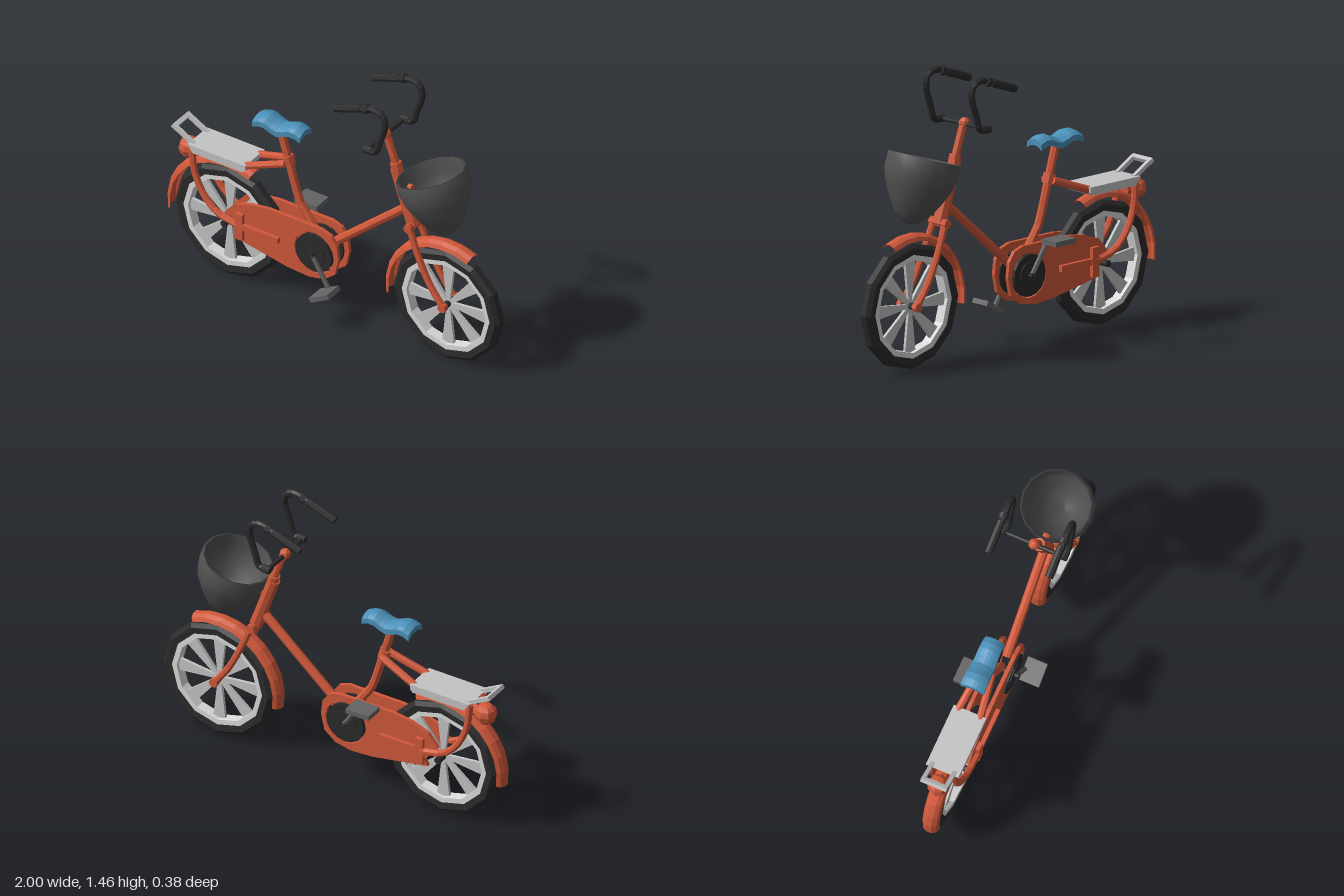
import * as THREE from 'three';

const flat = (color, name, extra = {}) => {
  const m = new THREE.MeshStandardMaterial({ color, flatShading: true, ...extra });
  m.name = name;
  return m;
};

export function createModel() {
  const root = new THREE.Group();
  root.name = 'bicycle';
  const DS = { side: THREE.DoubleSide };
  const orange = flat(0xd0583a, 'orange paint', DS);
  const black = flat(0x2b2b2b, 'black rubber', DS);
  const rimGrey = flat(0xdcdcdc, 'light rim');
  const silver = flat(0xc4c4c4, 'silver');
  const pedalGrey = flat(0x646464, 'pedal grey');
  const blue = flat(0x4a90b8, 'blue saddle');
  const basketGrey = flat(0x525252, 'basket grey', { flatShading: false });

  const V = (x, y, z = 0) => new THREE.Vector3(x, y, z);
  const add = (name, geo, mat, parent = root) => {
    const m = new THREE.Mesh(geo, mat);
    m.name = name;
    parent.add(m);
    return m;
  };
  // straight round bar between two points
  const bar = (name, a, b, r, mat, r2 = r, sides = 8) => {
    const m = add(name, new THREE.CylinderGeometry(r2, r, a.distanceTo(b), sides), mat);
    m.position.copy(a).add(b).multiplyScalar(0.5);
    m.quaternion.setFromUnitVectors(V(0, 1), b.clone().sub(a).normalize());
    return m;
  };
  // bent tube through points
  const tube = (name, pts, r, mat, n = 10) =>
    add(name, new THREE.TubeGeometry(new THREE.CatmullRomCurve3(pts, false, 'centripetal'), n, r, 7), mat);
  const box = (name, w, h, d, x, y, z, mat, rot = 0) => {
    const m = add(name, new THREE.BoxGeometry(w, h, d), mat);
    m.position.set(x, y, z);
    m.rotation.z = rot;
    return m;
  };
  // ring turned about the z axis; angles measured from +x
  const ring = (pts, sides, from = 0, sweep = Math.PI * 2) =>
    new THREE.LatheGeometry(pts.map(p => new THREE.Vector2(...p)), sides, from + Math.PI / 2, sweep)
      .rotateX(Math.PI / 2);

  // wheels with mudguards
  const tyre = [[0.265, -0.032], [0.3, -0.035], [0.32, -0.018], [0.32, 0.018], [0.3, 0.035], [0.265, 0.032], [0.265, -0.032]];
  const rim = [[0.237, -0.028], [0.268, -0.028], [0.268, 0.028], [0.237, 0.028], [0.237, -0.028]];
  const guard = [[0.335, -0.045], [0.355, -0.036], [0.368, -0.015], [0.368, 0.015], [0.355, 0.036], [0.335, 0.045]];
  const blade = new THREE.Shape([[0.015, -0.01], [0.25, -0.037], [0.25, 0.037], [0.015, 0.01]].map(p => new THREE.Vector2(...p)));
  for (const [side, x] of [['rear', -0.63], ['front', 0.68]]) {
    const wheel = new THREE.Group();
    wheel.name = side + 'Wheel';
    wheel.position.set(x, 0.321, 0);
    root.add(wheel);
    add('tyre', ring(tyre, 12), black, wheel);
    add('rim', ring(rim, 12), rimGrey, wheel);
    for (let i = 0; i < 8; i++) {
      const geo = new THREE.ExtrudeGeometry(blade, { depth: 0.016, bevelEnabled: false }).translate(0, 0, -0.008);
      add('spoke', geo, silver, wheel).rotation.z = i * Math.PI / 4;
    }
    add('axle', new THREE.CylinderGeometry(0.018, 0.018, 0.13, 8).rotateX(Math.PI / 2), black, wheel);
    const deg = Math.PI / 180;
    add('mudguard', ring(guard, 9, 66 * deg, 122 * deg), orange, wheel);
  }

  // frame tubes
  tube('seatTube', [V(-0.335, 0.99), V(-0.275, 0.79), V(-0.205, 0.57), V(-0.16, 0.51), V(-0.1, 0.43)], 0.022, orange);
  bar('seatClamp', V(-0.29, 0.83), V(-0.275, 0.78), 0.032, orange);
  bar('downTube', V(-0.03, 0.4), V(0.43, 0.8), 0.024, orange);
  bar('headTube', V(0.365, 1.01), V(0.47, 0.71), 0.033, orange, 0.036);
  bar('headCollar', V(0.36, 1.04), V(0.372, 1.0), 0.03, orange);
  bar('stem', V(0.305, 1.19), V(0.37, 1.01), 0.02, orange);
  add('stemCap', new THREE.SphereGeometry(0.03, 8, 6), orange).position.set(0.3, 1.188, 0);
  bar('forkCrown', V(0.47, 0.71, -0.06), V(0.47, 0.71, 0.06), 0.024, orange);

  // parts mirrored on both sides
  for (const s of [1, -1]) {
    tube('forkLeg', [V(0.465, 0.73, 0.04 * s), V(0.535, 0.56, 0.05 * s), V(0.6, 0.43, 0.052 * s), V(0.68, 0.321, 0.052 * s)], 0.018, orange);
    bar('hubNut', V(0.68, 0.321, 0.04 * s), V(0.68, 0.321, 0.069 * s), 0.024, orange);
    tube('rearStay', [V(-0.82, 0.72, 0.062 * s), V(-0.8, 0.57, 0.065 * s), V(-0.74, 0.45, 0.067 * s),
      V(-0.66, 0.38, 0.067 * s), V(-0.54, 0.352, 0.067 * s)], 0.018, orange);
    box('stayPlate', 0.045, 0.15, 0.025, -0.53, 0.35, 0.068 * s, orange);
    box('chainArm', 0.27, 0.032, 0.022, -0.43, 0.353, 0.068 * s, orange);
    bar('rackStay', V(-0.5, 0.72, 0.06 * s), V(-0.28, 0.8, 0.03 * s), 0.02, orange);
    // handlebar side
    tube('handlebar', [V(0.295, 1.183, 0.163 * s), V(0.35, 1.19, 0.163 * s), V(0.375, 1.26, 0.163 * s), V(0.408, 1.37, 0.163 * s),
      V(0.395, 1.42, 0.163 * s), V(0.345, 1.44, 0.163 * s), V(0.27, 1.418, 0.163 * s), V(0.13, 1.366, 0.163 * s)], 0.018, black, 22);
    bar('grip', V(0.11, 1.36, 0.163 * s), V(0.27, 1.418, 0.163 * s), 0.021, black);
    bar('barEnd', V(0.285, 1.183, 0.163 * s), V(0.33, 1.187, 0.163 * s), 0.02, black);
    // brake lever clamp
    bar('barClamp', V(0.285, 1.423, 0.163 * s), V(0.31, 1.432, 0.163 * s), 0.025, black);
  }
  bar('crossBar', V(0.3, 1.185, -0.165), V(0.3, 1.185, 0.165), 0.012, black);

  // chain case: two plates with a round opening for the chainwheel
  const caseShape = new THREE.Shape([[-0.63, 0.39], [-0.55, 0.3], [-0.57, 0.265], [-0.4, 0.235], [-0.25, 0.208], [-0.12, 0.2],
    [-0.03, 0.218], [0.035, 0.27], [0.055, 0.36], [0.045, 0.44], [0.01, 0.49], [-0.05, 0.51], [-0.36, 0.51], [-0.47, 0.495],
    [-0.57, 0.46]].map(p => new THREE.Vector2(...p)));
  const opening = new THREE.Path();
  opening.absarc(-0.09, 0.355, 0.118, 0, Math.PI * 2, true);
  caseShape.holes.push(opening);
  for (const s of [1, -1]) {
    const geo = new THREE.ExtrudeGeometry(caseShape, { depth: 0.02, bevelEnabled: false, curveSegments: 8 });
    add('chainCase', geo.translate(0, 0, s > 0 ? 0.038 : -0.058), orange);
    bar('chainwheel', V(-0.09, 0.355, 0.04 * s), V(-0.09, 0.355, 0.065 * s), 0.108, black, 0.108, 16);
    bar('chainwheelHub', V(-0.09, 0.355, 0.06 * s), V(-0.09, 0.355, 0.07 * s), 0.07, black, 0.07, 12);
  }
  bar('crankAxle', V(-0.09, 0.355, -0.09), V(-0.09, 0.355, 0.09), 0.016, black);

  // cranks and pedals
  bar('crankArm', V(-0.09, 0.355, 0.078), V(0.015, 0.185, 0.078), 0.013, pedalGrey, 0.013, 6);
  bar('crankArm', V(-0.09, 0.355, -0.078), V(-0.2, 0.52, -0.078), 0.013, pedalGrey, 0.013, 6);
  box('pedal', 0.125, 0.026, 0.105, 0.018, 0.185, 0.123, pedalGrey, 0.5);
  box('pedal', 0.135, 0.026, 0.105, -0.23, 0.516, -0.123, pedalGrey);

  // saddle: a dished slab drooping at its sides
  const saddle = new THREE.BoxGeometry(0.28, 0.03, 0.115, 8, 1, 6);
  const p = saddle.attributes.position;
  for (let i = 0; i < p.count; i++) {
    const u = p.getX(i) / 0.14, w = p.getZ(i) / 0.0575;
    p.setY(i, p.getY(i) + 0.014 * Math.cos(u * Math.PI * 1.6 + Math.PI) - 0.022 * w * w);
    p.setZ(i, p.getZ(i) * (1 - 0.1 * u));
  }
  add('saddle', saddle, blue).position.set(-0.32, 1.012, 0);

  // luggage rack with a raised rear loop
  const rackSide = new THREE.Shape([[-0.8, 0.695], [-0.5, 0.695], [-0.485, 0.71], [-0.485, 0.738], [-0.83, 0.738]].map(q => new THREE.Vector2(...q)));
  add('rack', new THREE.ExtrudeGeometry(rackSide, { depth: 0.176, bevelEnabled: false }).translate(0, 0, -0.088), silver);
  for (const s of [1, -1]) box('rackLoopSide', 0.14, 0.022, 0.02, -0.87, 0.765, 0.06 * s, silver, -0.5);
  box('rackLoopEnd', 0.024, 0.022, 0.14, -0.925, 0.794, 0, silver, -0.5);

  // tail lamp on the rear mudguard
  add('tailLamp', new THREE.SphereGeometry(0.058, 8, 6), orange).position.set(-0.875, 0.655, 0);
  bar('lampMount', V(-0.88, 0.655), V(-0.8, 0.655), 0.03, orange);

  // egg-shaped basket with an inner wall, tipped back toward the rider
  const wall = [[0, -0.335], [0.04, -0.328], [0.085, -0.29], [0.13, -0.22], [0.17, -0.14], [0.187, -0.075], [0.184, 0],
    [0.172, 0], [0.173, -0.075], [0.155, -0.14], [0.115, -0.21], [0.07, -0.28], [0, -0.315]];
  const basket = add('basket', new THREE.LatheGeometry(wall.map(q => new THREE.Vector2(...q)), 14), basketGrey);
  basket.position.set(0.575, 1.057, 0);
  basket.rotation.z = 0.32;
  bar('basketBracket', V(0.4, 0.92), V(0.46, 0.92), 0.02, orange);

  return root;
}
